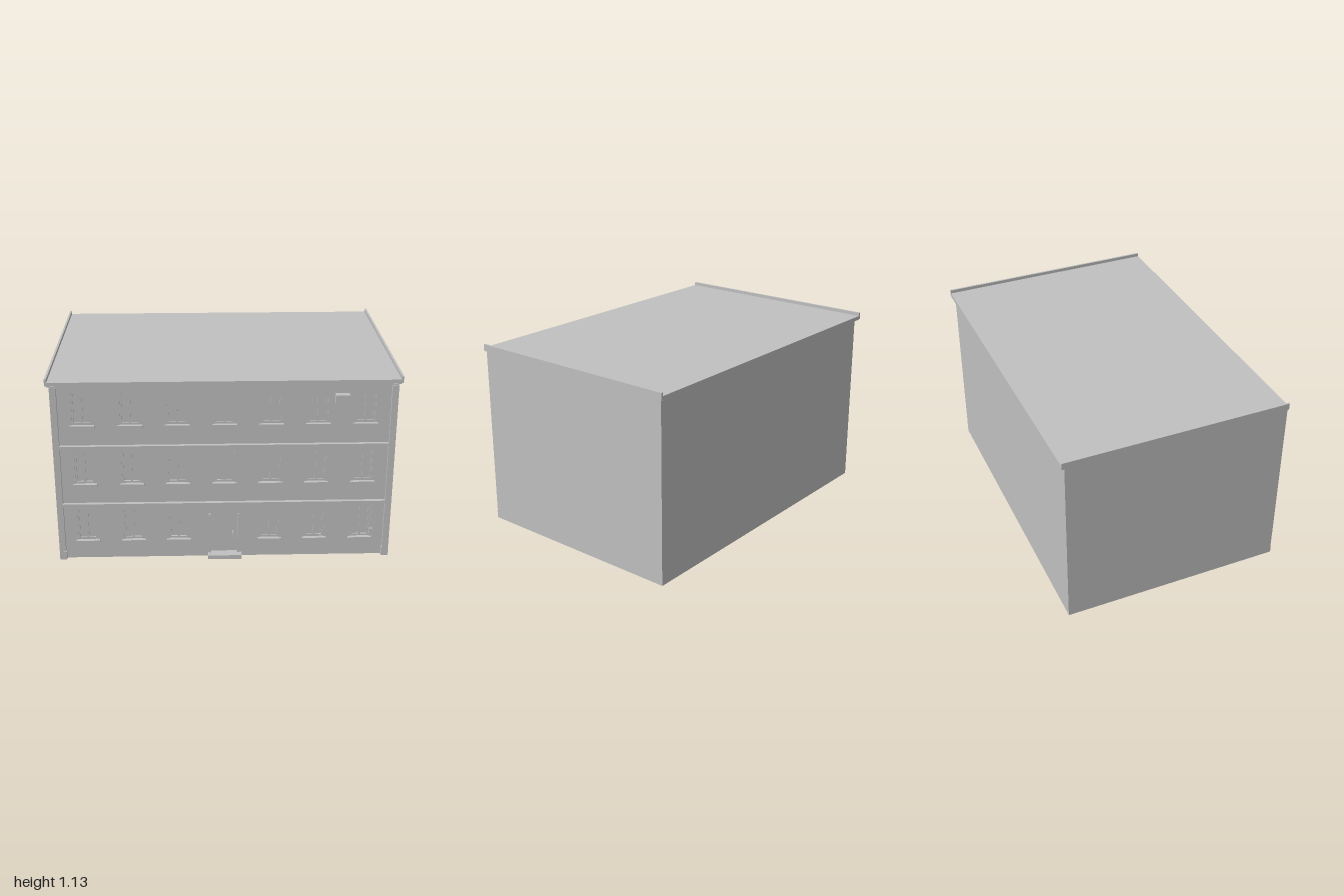
import * as THREE from 'three';

export function createModel() {
  const building = new THREE.Group();
  building.name = 'building';
  const plaster = new THREE.MeshStandardMaterial({ color: 0xc0c0c0 });
  plaster.name = 'light grey';

  function add(name, geometry, parent = building) {
    const mesh = new THREE.Mesh(geometry, plaster);
    mesh.name = name;
    parent.add(mesh);
    return mesh;
  }
  // Box given by its limits on each axis
  function box(name, x0, x1, y0, y1, z0, z1, parent) {
    const g = new THREE.BoxGeometry(x1 - x0, y1 - y0, z1 - z0);
    g.translate((x0 + x1) / 2, (y0 + y1) / 2, (z0 + z1) / 2);
    return add(name, g, parent);
  }
  function rect(Type, x0, x1, y0, y1) {
    const p = new Type();
    p.moveTo(x0, y0);
    p.lineTo(x1, y0);
    p.lineTo(x1, y1);
    p.lineTo(x0, y1);
    p.closePath();
    return p;
  }

  const CORE = 0.63, FACADE = 0.645, FRONT = 0.667;
  const columns = [-0.805, -0.535, -0.27, 0, 0.265, 0.53, 0.8];
  const floors = [0.12, 0.485, 0.85];
  const W = 0.055, H = 0.2;

  // Walls
  box('core', -0.975, 0.975, 0, 1.09, -0.667, CORE);

  // Front wall pierced for the windows and the door
  const wall = rect(THREE.Shape, -0.975, 0.975, 0, 1.09);
  wall.holes.push(rect(THREE.Path, -0.08, 0.075, 0.025, 0.28));
  const windows = [];
  floors.forEach((y, floor) => columns.forEach((x) => {
    if (floor === 0 && x === 0) return;
    windows.push([x, y]);
    wall.holes.push(rect(THREE.Path, x - W, x + W, y, y + H));
  }));
  const wallGeometry = new THREE.ExtrudeGeometry(wall, { depth: FACADE - CORE, bevelEnabled: false });
  wallGeometry.translate(0, 0, CORE);
  add('frontWall', wallGeometry);

  // Window frames and sills
  for (const [x, y] of windows) {
    const group = new THREE.Group();
    group.name = 'window';
    building.add(group);
    const frame = rect(THREE.Shape, x - W, x + W, y, y + H);
    frame.holes.push(rect(THREE.Path, x - W + 0.01, x - 0.006, y + 0.012, y + H - 0.012));
    frame.holes.push(rect(THREE.Path, x + 0.006, x + W - 0.01, y + 0.012, y + H - 0.012));
    const g = new THREE.ExtrudeGeometry(frame, { depth: 0.009, bevelEnabled: false });
    g.translate(0, 0, CORE);
    add('windowFrame', g, group);
    box('windowSill', x - 0.07, x + 0.07, y - 0.014, y, CORE, 0.663, group);
  }

  // Corner pilasters with small feet and tops
  for (const s of [-1, 1]) {
    const span = (a, b) => (s > 0 ? [a, b] : [-b, -a]);
    box('pilaster', ...span(0.938, 0.975), 0, 1.08, FACADE, FRONT - 0.002);
    box('pilasterFoot', ...span(0.933, 0.975), 0, 0.05, FACADE, FRONT);
    box('pilasterTop', ...span(0.945, 0.97), 1.075, 1.09, FACADE, FRONT - 0.004);
  }

  // Storey bands and cornice
  for (const y of [0.345, 0.71]) box('storeyBand', -0.938, 0.938, y, y + 0.017, FACADE, FRONT);
  box('cornice', -0.975, 0.975, 1.08, 1.09, FACADE, 0.657);

  // Roof with raised side edges
  box('roofSlab', -0.99, 0.99, 1.085, 1.11, -0.69, 0.657);
  for (const x of [-1, 0.988]) box('roofEdge', x, x + 0.012, 1.09, 1.13, -0.69, 0.657);

  // Entrance
  box('doorCanopy', -0.352, 0.348, 0.31, 0.352, FACADE, FRONT);
  box('doorStep', -0.1, 0.1, 0, 0.025, FACADE, 0.69);
  box('doorPost', -0.093, -0.08, 0.025, 0.28, CORE, 0.655);
  box('doorPost', 0.075, 0.088, 0.025, 0.28, CORE, 0.655);
  box('doorHandle', 0.046, 0.054, 0.133, 0.157, CORE, 0.652);

  // Ventilation unit with front slats
  box('ventilationUnit', 0.62, 0.7, 0.977, 1.03, FACADE, 0.687);
  for (let i = 0; i < 4; i++) {
    const y = 0.988 + i * 0.009;
    box('ventilationSlat', 0.628, 0.692, y, y + 0.004, 0.686, 0.69);
  }

  // Wall box on its cable
  box('cable', 0.864, 0.868, 0.17, 0.32, FACADE, 0.65);
  box('wallBox', 0.855, 0.877, 0.145, 0.175, FACADE, 0.66);

  return building;
}
